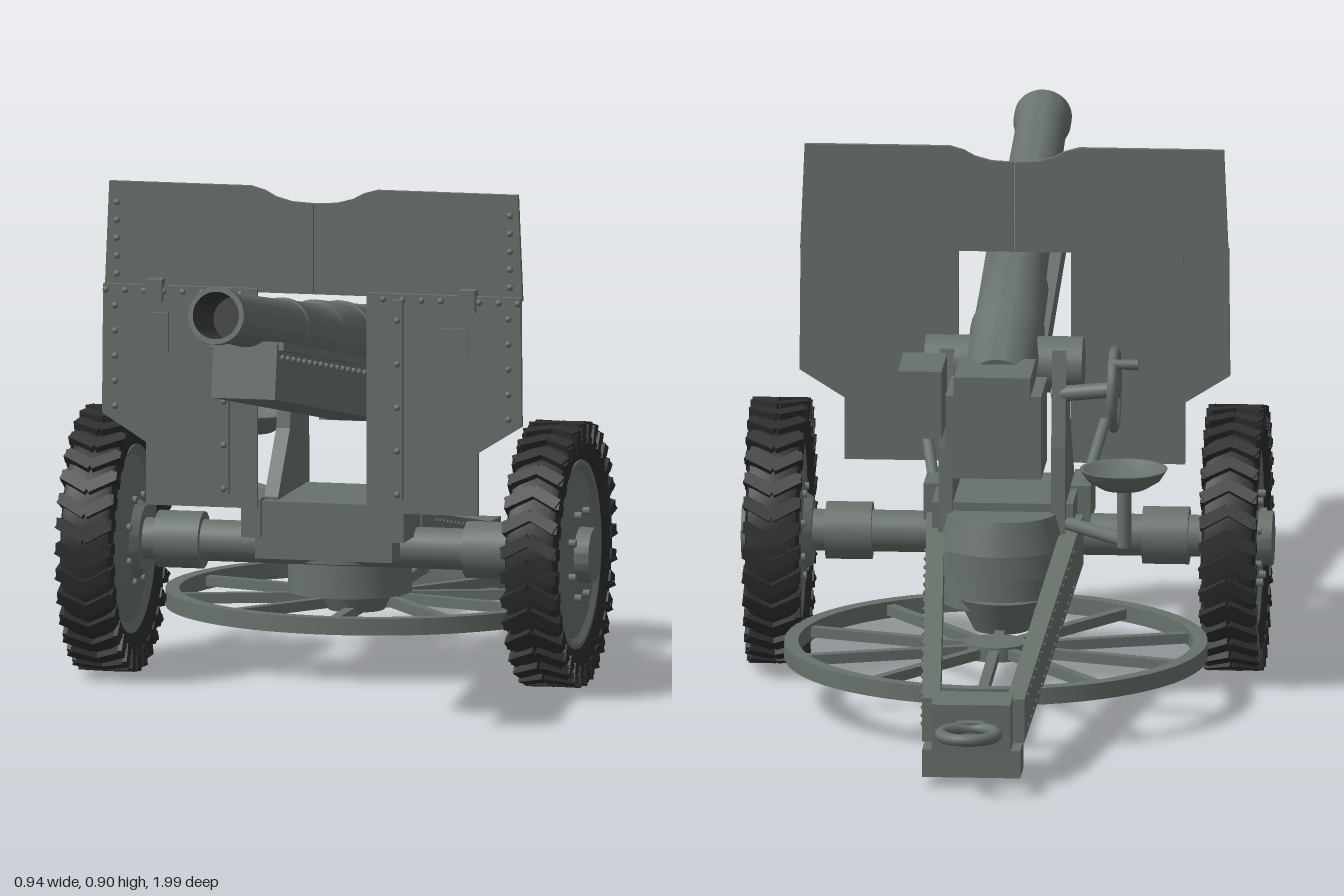
import * as THREE from 'three';
import { mergeGeometries, toCreasedNormals } from 'three/addons/utils/BufferGeometryUtils.js';

const paint = new THREE.MeshStandardMaterial({ color: 0x68716b });
const rubber = new THREE.MeshStandardMaterial({ color: 0x2b2e2d });
const black = new THREE.MeshStandardMaterial({ color: 0x353a38 });
const V = (x, y, z) => new THREE.Vector3(x, y, z);

export function createModel() {
  const root = new THREE.Group();

  const add = (name, geo, pos = [0, 0, 0], mat = paint, parent = root) => {
    const m = new THREE.Mesh(geo, mat);
    m.name = name;
    m.position.set(...pos);
    parent.add(m);
    return m;
  };
  // box from its lower and upper corners
  const box = (name, a, b, mat = paint, parent = root) =>
    add(name, new THREE.BoxGeometry(b[0] - a[0], b[1] - a[1], b[2] - a[2]),
      a.map((v, i) => (v + b[i]) / 2), mat, parent);
  const lathe = (pts, seg = 40) =>
    toCreasedNormals(new THREE.LatheGeometry(pts.map(p => new THREE.Vector2(...p)), seg), 0.6);
  // round bar between two points
  const rod = (name, a, b, r, r2 = r, parent = root) => {
    const d = b.clone().sub(a);
    const m = add(name, new THREE.CylinderGeometry(r2, r, d.length(), 24),
      a.clone().add(b).multiplyScalar(0.5).toArray(), paint, parent);
    m.quaternion.setFromUnitVectors(V(0, 1, 0), d.normalize());
    return m;
  };
  const extrude = (pts, depth) => new THREE.ExtrudeGeometry(
    new THREE.Shape(pts.map(p => new THREE.Vector2(...p))), { depth, bevelEnabled: false });
  // upright plate from a (z, y) outline, centred on x
  const sidePlate = (pts, x, w) =>
    extrude(pts, w).translate(0, 0, -w / 2).rotateY(-Math.PI / 2).translate(x, 0, 0);
  const rivets = (name, points, parent = root, r = 0.006) =>
    add(name, mergeGeometries(points.map(p => new THREE.SphereGeometry(r, 8, 6).translate(...p))), [0, 0, 0], paint, parent);

  // Elevating mass: local +y runs along the bore, local +z points down
  const gun = new THREE.Group();
  gun.name = 'elevatingMass';
  gun.position.set(0, 0.78, 0.982);
  gun.rotation.x = Math.PI / 2 - 0.187;
  root.add(gun);
  add('barrel', lathe([[0, -1.2], [0.063, -1.2], [0.063, -0.96], [0.066, -0.955], [0.066, -0.93], [0.062, -0.925],
    [0.06, -0.75], [0.053, -0.74], [0.05, -0.52], [0.053, -0.515], [0.053, -0.5], [0.049, -0.495], [0.045, -0.06],
    [0.048, -0.05], [0.048, -0.035], [0.051, -0.03], [0.051, 0], [0.042, 0], [0.042, -0.02]]), [0, 0, 0], paint, gun);
  add('bore', lathe([[0.042, 0], [0.04, -0.15], [0, -0.15]]), [0, 0, 0], black, gun);
  box('cradle', [-0.058, -1.19, 0.035], [0.058, -0.235, 0.138], paint, gun);
  box('cradleFlange', [-0.067, -1.15, 0.035], [0.067, -0.245, 0.05], paint, gun);
  const cradleRivets = [];
  for (let i = 0; i < 17; i++)
    for (const s of [-1, 1]) cradleRivets.push([s * 0.06, -0.27 - i * 0.042, 0.062]);
  rivets('cradleRivets', cradleRivets, gun);

  // Breech and sight box
  box('breech', [-0.085, 0.425, -0.305], [0.085, 0.575, -0.15]);
  box('breechTop', [-0.066, 0.57, -0.31], [0.07, 0.61, -0.16]);
  box('sightBox', [0.092, 0.495, -0.3], [0.17, 0.617, -0.155]);

  // Shield: two lower wings and a folding upper half on each side
  for (const s of [-1, 1]) {
    const mirror = pts => pts.map(([x, y]) => [s * x, y]);
    add('upperShield', extrude(mirror([[0.001, 0.71], [0.001, 0.872], [0.04, 0.874], [0.07, 0.882], [0.09, 0.893],
      [0.115, 0.9], [0.372, 0.9], [0.38, 0.71]]), 0.01), [0, 0, 0.235]);
    add('lowerShield', extrude(mirror([[0.1, 0.325], [0.1, 0.718], [0.38, 0.718], [0.382, 0.487], [0.302, 0.437],
      [0.302, 0.325]]), 0.01), [0, 0, 0.248]);
    box('shieldStrap', [s * 0.158 - 0.009, 0.35, 0.256], [s * 0.158 + 0.009, 0.708, 0.268]);
    box('shieldHinge', [s * 0.285 - 0.015, 0.69, 0.24], [s * 0.285 + 0.015, 0.73, 0.272]);
    const pts = [];
    for (let i = 0; i < 5; i++) {
      pts.push([s * 0.358, 0.735 + i * 0.032, 0.246], [s * 0.358, 0.5 + i * 0.045, 0.259]);
      pts.push([s * 0.158, 0.36 + i * 0.078, 0.269]);
    }
    for (let i = 0; i < 8; i++) pts.push([s * (0.13 + i * 0.035), 0.708, 0.259]);
    rivets('shieldRivets', pts);
    rod('shieldStay', V(s * 0.13, 0.3, 0.1), V(s * 0.16, 0.4, 0.25), 0.01);
  }
  box('sightHatch', [0.225, 0.61, 0.255], [0.285, 0.66, 0.263]);
  box('shieldPort', [-0.297, 0.6, 0.255], [-0.26, 0.67, 0.265]);

  // Top carriage with cheeks and trunnions
  box('carriageBody', [-0.125, 0.222, -0.07], [0.125, 0.325, 0.17]);
  for (const s of [-1, 1]) {
    add('cheek', sidePlate([[0.15, 0.27], [0.15, 0.33], [0.06, 0.44], [0.035, 0.6], [-0.055, 0.6], [-0.085, 0.43],
      [-0.09, 0.27]], s * 0.1, 0.025));
    box('frontBracket', [s * 0.13 - 0.018, 0.26, 0.05], [s * 0.13 + 0.018, 0.33, 0.18]);
    rod('trunnion', V(s * 0.05, 0.565, -0.01), V(s * 0.14, 0.565, -0.01), 0.05);
  }
  add('turntable', lathe([[0, 0.14], [0.11, 0.14], [0.11, 0.2], [0.135, 0.205], [0.135, 0.25], [0, 0.25]]), [0, 0, -0.03]);
  add('turntableTop', new THREE.CylinderGeometry(0.1, 0.115, 0.06, 40), [0, 0.28, -0.06]);
  add('pivot', new THREE.CylinderGeometry(0.08, 0.05, 0.06, 24), [0, 0.13, -0.08]);

  // Axle and brake drums
  rod('axle', V(-0.37, 0.237, 0.075), V(0.37, 0.237, 0.075), 0.037);
  for (const s of [-1, 1]) rod('axleSleeve', V(s * 0.24, 0.237, 0.075), V(s * 0.322, 0.237, 0.075), 0.051);

  // Road wheels: local +y points outwards
  const lugs = [];
  for (let i = 0; i < 32; i++)
    for (const t of [-1, 1])
      lugs.push(
        new THREE.BoxGeometry(0.02, 0.055, 0.021).rotateX(-t * 0.5).translate(0.2255, t * 0.023, 0)
          .rotateY(i * Math.PI / 16),
        new THREE.BoxGeometry(0.034, 0.008, 0.02).translate(0.214, t * 0.046, -t * t * 0.012)
          .rotateY(i * Math.PI / 16));
  const lugGeo = mergeGeometries(lugs);
  const tyreGeo = lathe([[0.16, -0.03], [0.18, -0.043], [0.205, -0.048], [0.22, -0.042], [0.224, -0.03], [0.224, 0.03],
    [0.22, 0.042], [0.205, 0.048], [0.18, 0.043], [0.16, 0.03], [0.16, -0.03]], 64);
  const discGeo = lathe([[0, -0.06], [0.06, -0.06], [0.07, -0.045], [0.11, -0.04], [0.15, -0.03], [0.168, -0.038],
    [0.168, 0.038], [0.16, 0.038], [0.15, 0.03], [0.11, 0.036], [0.05, 0.04], [0.048, 0.066], [0, 0.066]], 48);
  for (const s of [-1, 1]) {
    const wheel = new THREE.Group();
    wheel.name = 'roadWheel';
    wheel.position.set(s * 0.405, 0.235, 0.075);
    wheel.rotation.z = -s * Math.PI / 2;
    root.add(wheel);
    add('tyre', tyreGeo, [0, 0, 0], rubber, wheel);
    add('treadLugs', lugGeo, [0, 0, 0], rubber, wheel);
    add('wheelDisc', discGeo, [0, 0, 0], paint, wheel);
    for (let i = 0; i < 8; i++) {
      const a = (i + 0.5) * Math.PI / 4;
      add('wheelBolt', new THREE.CylinderGeometry(0.007, 0.007, 0.1, 8),
        [0.08 * Math.cos(a), 0, 0.08 * Math.sin(a)], paint, wheel);
    }
  }

  // Trail legs converging to the tail
  for (const s of [-1, 1]) {
    const legX = z => s * (0.12 + (z + 0.05) * 0.059);
    const geo = sidePlate([[0, 0.29], [-0.82, 0.147], [-0.82, 0.068], [0, 0.2]], 0, 0.032);
    const p = geo.attributes.position;
    for (let i = 0; i < p.count; i++) p.setX(i, p.getX(i) + legX(p.getZ(i)));
    geo.computeVertexNormals();
    add('trailLeg', geo);
    const pts = [];
    for (let i = 0; i < 18; i++) {
      const z = -0.14 - i * 0.037;
      pts.push([legX(z) + s * 0.016, 0.278 + z * 0.174, z], [legX(z) + s * 0.016, 0.212 + z * 0.16, z]);
    }
    rivets('trailRivets', pts, root, 0.004);
  }
  const tail = box('trailEnd', [-0.07, 0.062, -0.88], [0.07, 0.152, -0.79]);
  tail.rotation.x = -0.04;
  box('tailPlate', [-0.07, 0.07, -0.8], [0.07, 0.135, -0.73]);
  box('spade', [-0.087, 0.016, -0.872], [0.087, 0.066, -0.785]);
  box('towTongue', [-0.025, 0.1, -0.9], [0.025, 0.122, -0.86]);
  add('towRing', new THREE.TorusGeometry(0.049, 0.011, 12, 32).rotateX(Math.PI / 2), [0, 0.111, -0.94]);

  // Firing platform: a flat spoked ring beneath the carriage
  const platform = new THREE.Group();
  platform.name = 'firingPlatform';
  platform.position.set(0, 0.1, -0.235);
  root.add(platform);
  add('platformRim', lathe([[0.35, -0.015], [0.375, -0.015], [0.375, 0.015], [0.35, 0.015], [0.35, -0.015]], 64),
    [0, 0, 0], paint, platform);
  add('platformHub', new THREE.CylinderGeometry(0.055, 0.055, 0.026, 24), [0, 0, 0], paint, platform);
  for (let i = 0; i < 10; i++) {
    const a = i * Math.PI / 5;
    const spoke = add('platformSpoke', new THREE.BoxGeometry(0.018, 0.018, 0.32),
      [0.2 * Math.sin(a), 0, 0.2 * Math.cos(a)], paint, platform);
    spoke.rotation.y = a;
  }

  // Gunner's seat
  const seat = add('seat', lathe([[0, 0.385], [0.04, 0.39], [0.065, 0.405], [0.078, 0.425], [0.072, 0.425],
    [0.05, 0.408], [0, 0.4]], 32), [-0.225, 0, -0.21]);
  seat.scale.set(1, 1, 1);
  rod('seatPost', V(-0.225, 0.28, -0.2), V(-0.225, 0.395, -0.2), 0.013);
  rod('seatArm', V(-0.225, 0.292, -0.2), V(-0.12, 0.292, -0.08), 0.012);

  // Laying handwheel
  const hand = new THREE.Group();
  hand.name = 'handwheel';
  hand.position.set(-0.2, 0.54, -0.09);
  hand.rotation.y = Math.PI / 2;
  root.add(hand);
  add('handwheelRim', new THREE.TorusGeometry(0.068, 0.009, 10, 32), [0, 0, 0], paint, hand);
  for (let i = 0; i < 4; i++) {
    const a = i * Math.PI / 2 + 0.4;
    rod('handwheelSpoke', V(0, 0, 0), V(0.066 * Math.cos(a), 0.066 * Math.sin(a), 0), 0.007, 0.007, hand);
  }
  rod('handwheelGrip', V(0.04, 0.055, 0), V(0.04, 0.055, -0.045), 0.009, 0.009, hand);
  rod('handwheelShaft', V(-0.205, 0.54, -0.09), V(-0.09, 0.52, -0.05), 0.014);
  return root;
}
